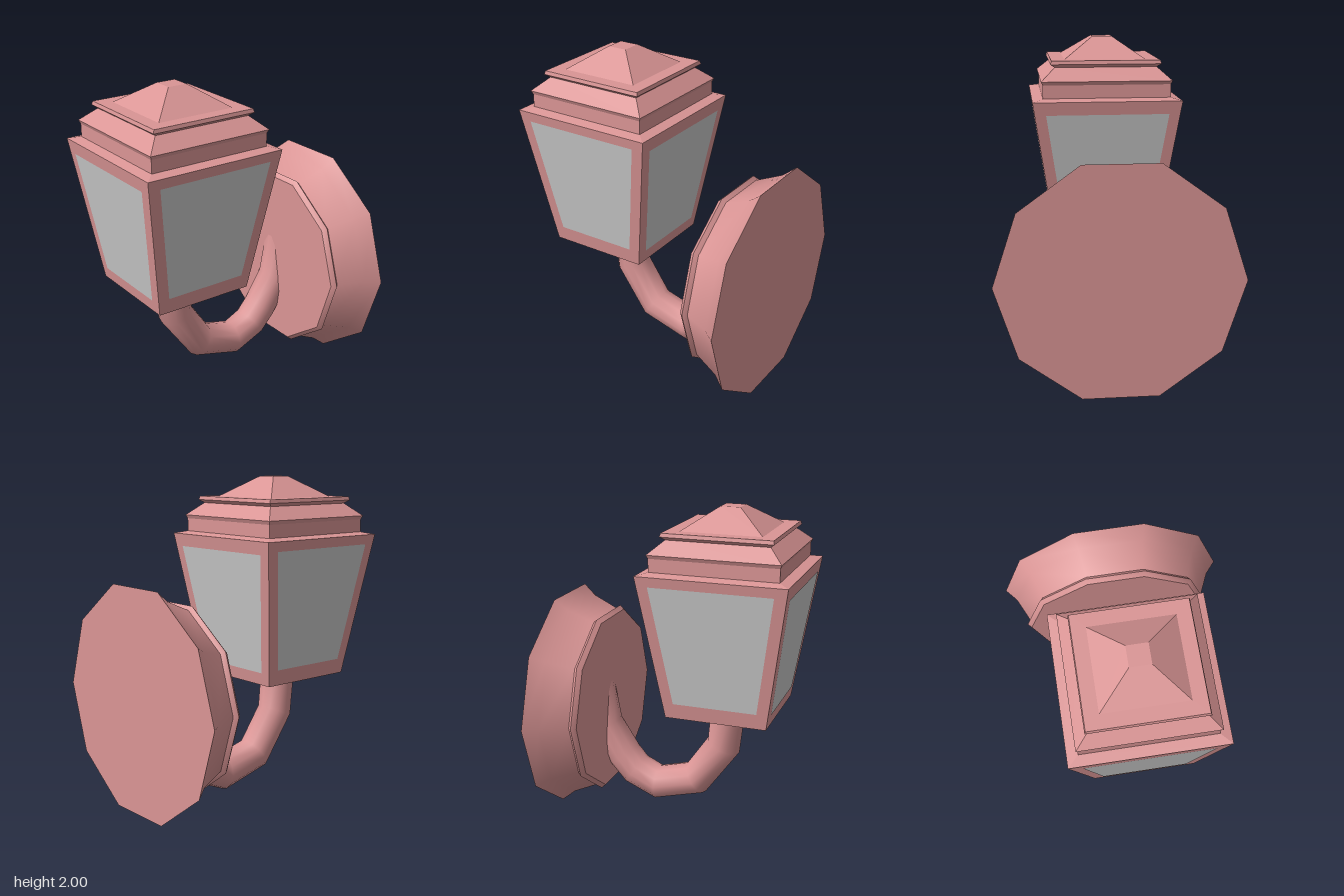
import * as THREE from 'three';
import { toCreasedNormals } from 'three/addons/utils/BufferGeometryUtils.js';

const metal = new THREE.MeshStandardMaterial({ color: 0xda9595 });
const glass = new THREE.MeshStandardMaterial({ color: 0xcccccc, side: THREE.DoubleSide });

// Lantern walls: half-width grows linearly with height
const BASE_Y = 0.73, RIM_Y = 1.635, BASE_HALF = 0.318, RIM_HALF = 0.457;
const halfAt = y => BASE_HALF + (y - BASE_Y) * (RIM_HALF - BASE_HALF) / (RIM_Y - BASE_Y);

function addMesh(parent, name, geometry, material) {
  const mesh = new THREE.Mesh(geometry, material);
  mesh.name = name;
  parent.add(mesh);
  return mesh;
}

// Profile of [radius, height] revolved in a few sides, with creased edges
function turned(profile, sides, phiStart, scale, crease) {
  const points = profile.map(([r, y]) => new THREE.Vector2(r * scale, y));
  return toCreasedNormals(new THREE.LatheGeometry(points, sides, phiStart), crease);
}

// Curve that puts one tube ring on each given point
class JointedPath extends THREE.Curve {
  constructor(points) {
    super();
    this.points = points;
  }
  getPoint(t, target = new THREE.Vector3()) {
    return target.copy(this.points[Math.round(t * (this.points.length - 1))]);
  }
  getPointAt(u, target) {
    return this.getPoint(u, target);
  }
  getTangentAt(u, target = new THREE.Vector3()) {
    const p = this.points, i = Math.round(u * (p.length - 1));
    target.set(0, 0, 0);
    if (i > 0) target.add(p[i].clone().sub(p[i - 1]).normalize());
    if (i < p.length - 1) target.add(p[i + 1].clone().sub(p[i]).normalize());
    return target.normalize();
  }
}

// Trapezoid pane lying on the sloping +z wall
function paneGeometry(y0, y1) {
  const w0 = 0.262, w1 = 0.376, gap = 0.003;
  const z0 = halfAt(y0) + gap, z1 = halfAt(y1) + gap;
  const g = new THREE.BufferGeometry();
  g.setAttribute('position', new THREE.Float32BufferAttribute(
    [-w0, y0, z0, w0, y0, z0, w1, y1, z1, -w1, y1, z1], 3));
  g.setIndex([0, 1, 2, 0, 2, 3]);
  g.computeVertexNormals();
  return g;
}

export function createModel() {
  const model = new THREE.Group();
  model.name = 'wallLantern';

  // Ten-sided wall plate with a raised lip
  const plate = addMesh(model, 'wallPlate', turned([
    [0, -0.772], [0.726, -0.772], [0.658, -0.69], [0.585, -0.525],
    [0.608, -0.502], [0.583, -0.475], [0, -0.475],
  ], 10, Math.PI / 2, 1, 0.72), metal);
  plate.rotation.x = Math.PI / 2;
  plate.position.y = 0.692;

  // Bent pipe from the plate up into the lantern, as [z, y]
  const path = [
    [0.33, 0.85], [0.292, 0.48], [0.11, 0.222], [-0.155, 0.15], [-0.312, 0.22],
    [-0.395, 0.315], [-0.525, 0.52], [-0.58, 0.8],
  ].map(([z, y]) => new THREE.Vector3(-0.034, y, z));
  addMesh(model, 'arm',
    new THREE.TubeGeometry(new JointedPath(path), path.length - 1, 0.111, 12), metal);

  // Square lantern: body, stepped cornice and hipped cap
  const lantern = new THREE.Group();
  lantern.name = 'lantern';
  lantern.position.set(0.01, 0, 0.315);
  model.add(lantern);
  addMesh(lantern, 'body', turned([
    [0, BASE_Y], [BASE_HALF, BASE_Y], [RIM_HALF, RIM_Y], [0.392, 1.65], [0, 1.65],
  ], 4, Math.PI / 4, Math.SQRT2, 0.1), metal);
  addMesh(lantern, 'cornice', turned([
    [0, 1.64], [0.392, 1.64], [0.392, 1.73], [0.402, 1.752], [0.315, 1.83],
    [0.341, 1.85], [0.335, 1.872], [0, 1.872],
  ], 4, Math.PI / 4, Math.SQRT2, 0.1), metal);
  addMesh(lantern, 'cap', turned([
    [0.25, 1.872], [0.062, 2.0], [0, 2.0],
  ], 4, Math.PI / 4, Math.SQRT2, 0.1), metal);

  // One pane on each wall
  ['front', 'left', 'back', 'right'].forEach((side, i) => {
    const lift = i % 2 ? 0.02 : 0;
    const pane = addMesh(lantern, side + 'Pane', paneGeometry(0.81 + lift, 1.555 + lift), glass);
    pane.rotation.y = i * Math.PI / 2;
  });

  return model;
}
